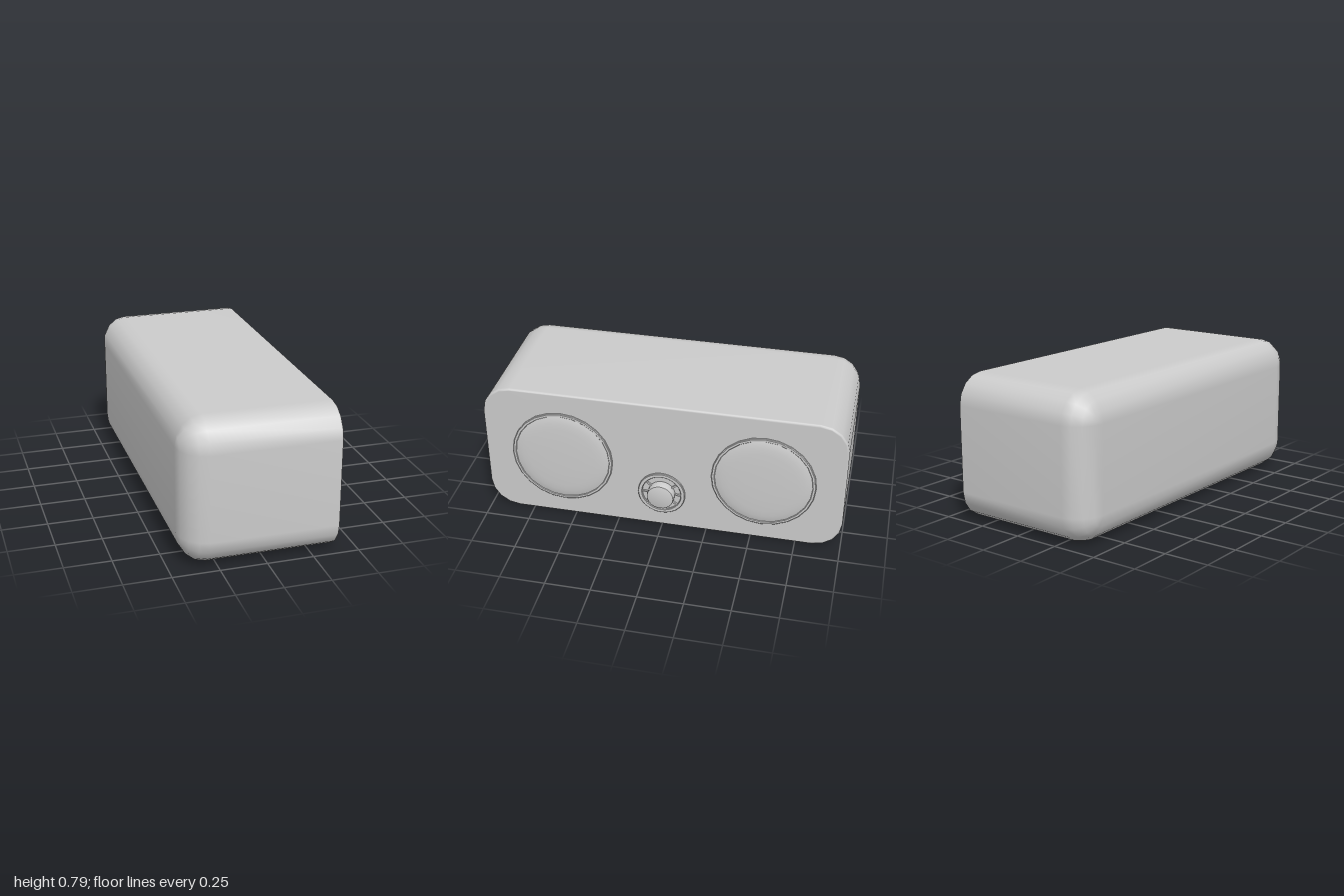
import * as THREE from 'three';
import { mergeVertices, toCreasedNormals } from 'three/addons/utils/BufferGeometryUtils.js';

const material = new THREE.MeshStandardMaterial({ color: 0xcccccc });
const HEIGHT = 0.79, FACE = 0.39, BACK = -0.44, CORNER = 0.16;

function addMesh(parent, name, geometry) {
  const mesh = new THREE.Mesh(geometry, material);
  mesh.name = name;
  parent.add(mesh);
  return mesh;
}

// Turned part whose axis points along +x; points are [radius, x]
function turned(points, sides) {
  const g = new THREE.LatheGeometry(points.map(([r, x]) => new THREE.Vector2(r, x)), sides);
  g.rotateZ(-Math.PI / 2);
  return toCreasedNormals(g, 0.6);
}

// Rounded-rectangle sections swept along x: wide round at the back, fine bevel in front
function cabinetGeometry() {
  const steps = 4, bevel = 0.012, sections = [];
  for (let i = 0; i <= steps; i++) {
    const a = (i / steps) * Math.PI / 2;
    sections.push([BACK + 0.14 * (1 - Math.cos(a)), CORNER * (1 - Math.sin(a))]);
  }
  for (let i = 0; i <= 3; i++) {
    const a = (i / 3) * Math.PI / 2;
    sections.push([FACE - bevel * (1 - Math.sin(a)), bevel * (1 - Math.cos(a))]);
  }
  const positions = [], index = [], n = 4 * (steps + 1);
  for (const [x, inset] of sections) {
    const r = CORNER - inset;
    for (let q = 0; q < 4; q++) {
      const sz = q === 0 || q === 3 ? 1 : -1, sy = q < 2 ? 1 : -1;
      for (let k = 0; k <= steps; k++) {
        const a = (q + k / steps) * Math.PI / 2;
        positions.push(x,
          HEIGHT / 2 + sy * (HEIGHT / 2 - CORNER) + r * Math.sin(a),
          sz * (1 - CORNER) + r * Math.cos(a));
      }
    }
  }
  const last = sections.length - 1, back = n * (last + 1), front = back + 1;
  positions.push(BACK, HEIGHT / 2, 0, FACE, HEIGHT / 2, 0);
  for (let j = 0; j < n; j++) {
    const k = (j + 1) % n;
    for (let i = 0; i < last; i++) {
      const a = i * n + j, b = i * n + k;
      index.push(a, a + n, b, b, a + n, b + n);
    }
    index.push(back, j, k, front, last * n + k, last * n + j);
  }
  let g = new THREE.BufferGeometry();
  g.setAttribute('position', new THREE.Float32BufferAttribute(positions, 3));
  g.setIndex(index);
  g = mergeVertices(g, 1e-4);
  g.computeVertexNormals();
  return g;
}

// Speaker: thin rim around a shallow dome
function createSpeaker(name) {
  const speaker = new THREE.Group();
  speaker.name = name;
  addMesh(speaker, 'speakerRim', turned(
    [[0.285, -0.005], [0.285, 0.007], [0.281, 0.01], [0.269, 0.01], [0.266, 0.007], [0.266, -0.005]], 24));
  addMesh(speaker, 'speakerDome', turned(
    [[0.266, -0.005], [0.266, 0.006], [0.25, 0.011], [0.225, 0.015], [0.19, 0.018], [0.1, 0.02], [0, 0.021]], 24));
  return speaker;
}

// Dial: outer ring, spokes and a bevelled knob
function createDial() {
  const dial = new THREE.Group();
  dial.name = 'dial';
  addMesh(dial, 'dialRing', turned(
    [[0.132, -0.005], [0.132, 0.009], [0.129, 0.012], [0.112, 0.012], [0.109, 0.009], [0.109, -0.005]], 40));
  for (const degrees of [0, 38, 142, 180, 218, 322]) {
    const arm = new THREE.Group();
    arm.name = 'dialSpoke';
    arm.rotation.x = THREE.MathUtils.degToRad(degrees);
    addMesh(arm, 'spoke', new THREE.BoxGeometry(0.012, 0.009, 0.05)).position.set(0.004, 0, 0.09);
    dial.add(arm);
  }
  addMesh(dial, 'knob', turned(
    [[0.075, -0.005], [0.075, 0.045], [0.073, 0.049], [0.068, 0.051], [0, 0.051]], 24));
  return dial;
}

export function createModel() {
  const model = new THREE.Group();
  model.name = 'speakerBox';
  addMesh(model, 'cabinet', cabinetGeometry());
  for (const side of [1, -1]) {
    const speaker = createSpeaker(side > 0 ? 'frontSpeaker' : 'rearSpeaker');
    speaker.position.set(FACE, 0.387, side * 0.56);
    model.add(speaker);
  }
  const dial = createDial();
  dial.position.set(FACE, 0.225, 0);
  model.add(dial);
  return model;
}
